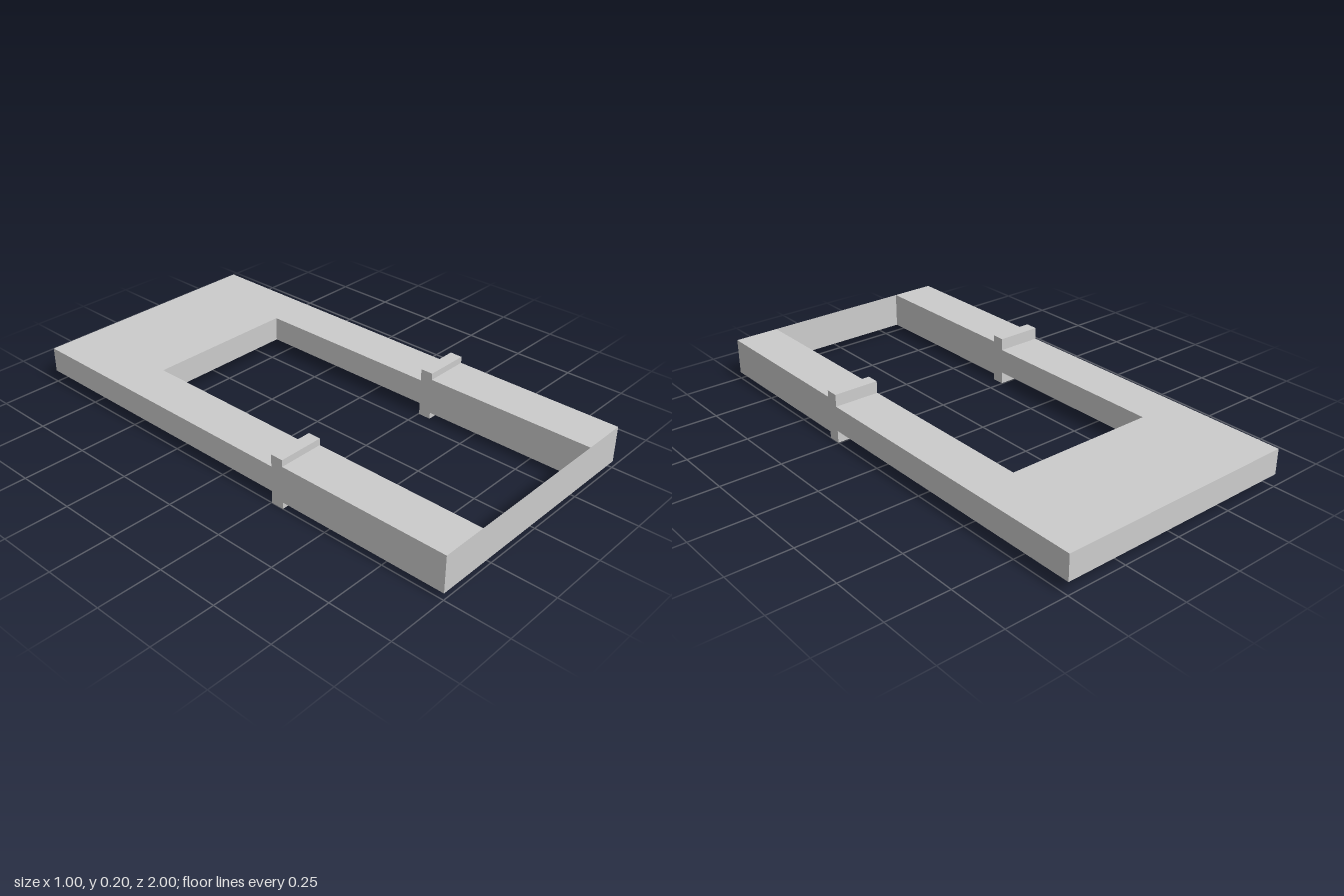
import * as THREE from 'three';

const HALF = 0.5;        // half of the overall width
const INNER = 0.314;     // half of the opening
const COLLAR_BACK = 0.253, COLLAR_FRONT = 0.305;

export function createModel() {
  const model = new THREE.Group();
  model.name = 'forkFrame';
  const material = new THREE.MeshStandardMaterial({ color: 0xcccccc, flatShading: true });

  const add = (name, geometry, mat = material) => {
    const mesh = new THREE.Mesh(geometry, mat);
    mesh.name = name;
    model.add(mesh);
    return mesh;
  };

  // U-shaped rear frame: back plate and two thin rails, drawn in plan (shape y = -z)
  const plan = new THREE.Shape([
    [-HALF, -COLLAR_BACK], [-INNER, -COLLAR_BACK], [-INNER, 0.535], [INNER, 0.535],
    [INNER, -COLLAR_BACK], [HALF, -COLLAR_BACK], [HALF, 1], [-HALF, 1],
  ].map(([x, y]) => new THREE.Vector2(x, y)));
  const frame = new THREE.ExtrudeGeometry(plan, { depth: 0.102, bevelEnabled: false });
  frame.rotateX(-Math.PI / 2).translate(0, 0.05, 0);
  add('rearFrame', frame);

  // Collar and thicker front arm on each side
  const bar = (name, side, y0, y1, z0, z1) => {
    const geometry = new THREE.BoxGeometry(HALF - INNER, y1 - y0, z1 - z0);
    add(name, geometry).position.set(side * (HALF + INNER) / 2, (y0 + y1) / 2, (z0 + z1) / 2);
  };
  for (const [label, side] of [['left', 1], ['right', -1]]) {
    bar(label + 'Collar', side, 0, 0.201, COLLAR_BACK, COLLAR_FRONT);
    bar(label + 'FrontArm', side, 0.027, 0.174, COLLAR_FRONT, 1);
  }

  // Paper-thin panel closing the front between the arms
  const thin = material.clone();
  thin.side = THREE.DoubleSide;
  add('frontPanel', new THREE.PlaneGeometry(2 * INNER, 0.147), thin).position.set(0, 0.1005, 1);

  return model;
}
